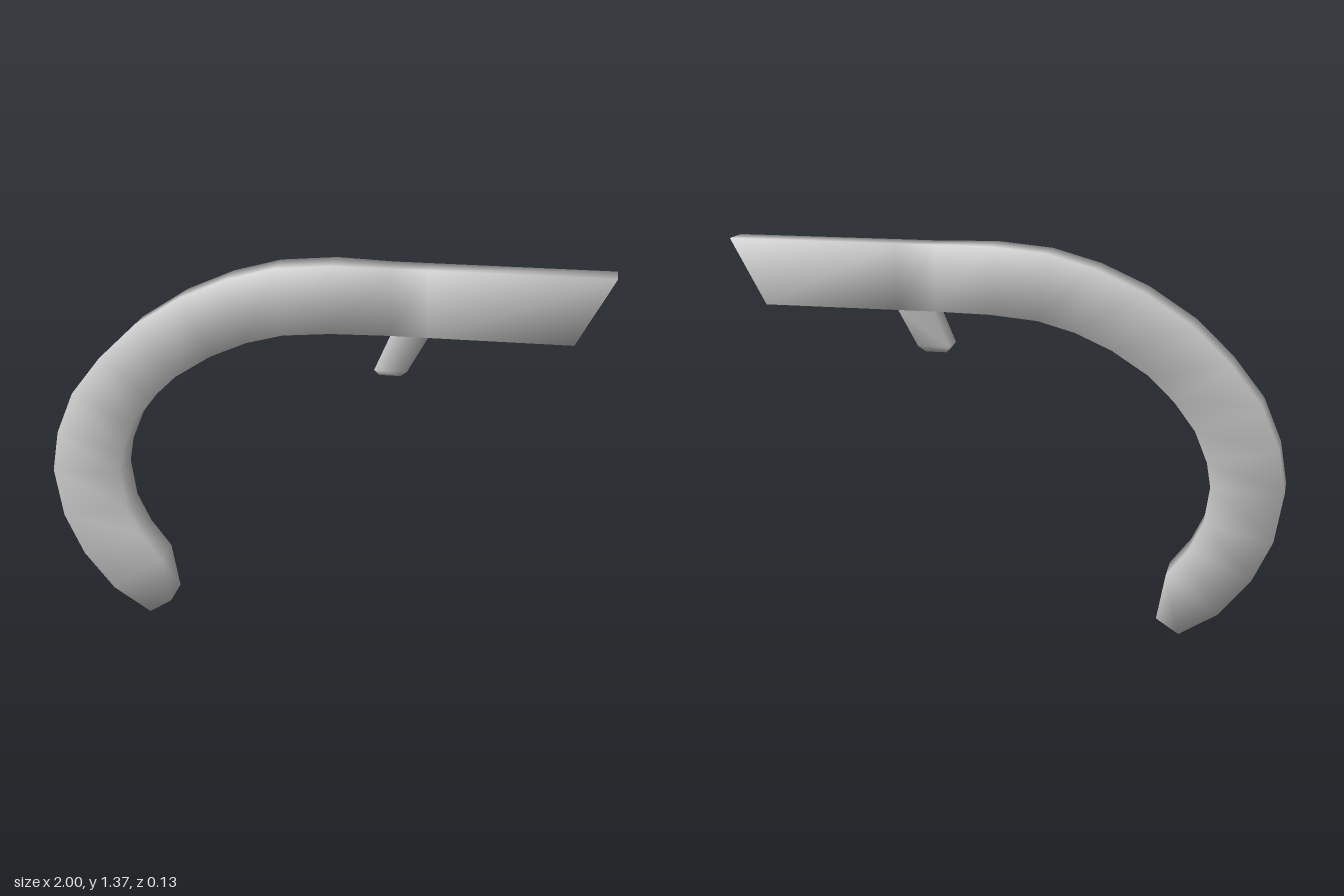
import * as THREE from 'three';

// Lofts a four-cornered bar through sections [outerX, outerY, innerX, innerY, halfWidth],
// with shared corners so the normals blend softly.
function loft(sections) {
  const pos = [], index = [];
  for (const [ox, oy, ix, iy, w] of sections) {
    pos.push(ox, oy, w, ix, iy, w, ix, iy, -w, ox, oy, -w);
  }
  for (let s = 0; s < sections.length - 1; s++) {
    for (let k = 0; k < 4; k++) {
      const a = s * 4 + k, b = s * 4 + (k + 1) % 4;
      index.push(a, a + 4, b + 4, a, b + 4, b);
    }
  }
  const e = (sections.length - 1) * 4;
  index.push(0, 1, 2, 0, 2, 3, e + 3, e + 2, e + 1, e + 3, e + 1, e);
  const geo = new THREE.BufferGeometry();
  geo.setAttribute('position', new THREE.Float32BufferAttribute(pos, 3));
  geo.setIndex(index);
  geo.computeVertexNormals();
  return geo;
}

export function createModel() {
  const group = new THREE.Group();
  const material = new THREE.MeshStandardMaterial({ color: 0xcccccc });
  const add = (name, sections) => {
    const mesh = new THREE.Mesh(loft(sections), material);
    mesh.name = name;
    group.add(mesh);
  };

  const thin = 0.052, wide = 0.067;

  // Straight slim shank with a slanted end, widening into the curved hook
  const shank = [
    [0.995, 1.372, 0.867, 1.137, thin],
    [0.375, 1.372, 0.375, 1.137, thin],
    [0.24, 1.372, 0.24, 1.137, thin],
  ];
  const hook = [
    [0.04, 1.375, 0.04, 1.137],
    [-0.16, 1.357, -0.13, 1.122],
    [-0.33, 1.31, -0.26, 1.087],
    [-0.5, 1.235, -0.39, 1.03],
    [-0.67, 1.125, -0.52, 0.947],
    [-0.8, 1.0, -0.61, 0.86],
    [-0.91, 0.86, -0.685, 0.76],
    [-0.975, 0.705, -0.73, 0.65],
    [-1.0, 0.555, -0.745, 0.56],
    [-0.97, 0.375, -0.725, 0.425],
    [-0.9, 0.225, -0.675, 0.32],
    [-0.79, 0.09, -0.6, 0.222],
    [-0.652, 0.002, -0.57, 0.055],
  ].map((s) => [...s, wide]);
  add('hookedBar', [...shank, ...hook]);

  // Short slanted peg below the shank, bevelled at its tip
  add('peg', [
    [0.262, 1.17, 0.393, 1.17, 0.05],
    [0.245, 1.137, 0.375, 1.137, 0.05],
    [0.19, 1.01, 0.305, 1.01, 0.047],
    [0.205, 0.988, 0.28, 0.988, 0.033],
  ]);

  return group;
}
